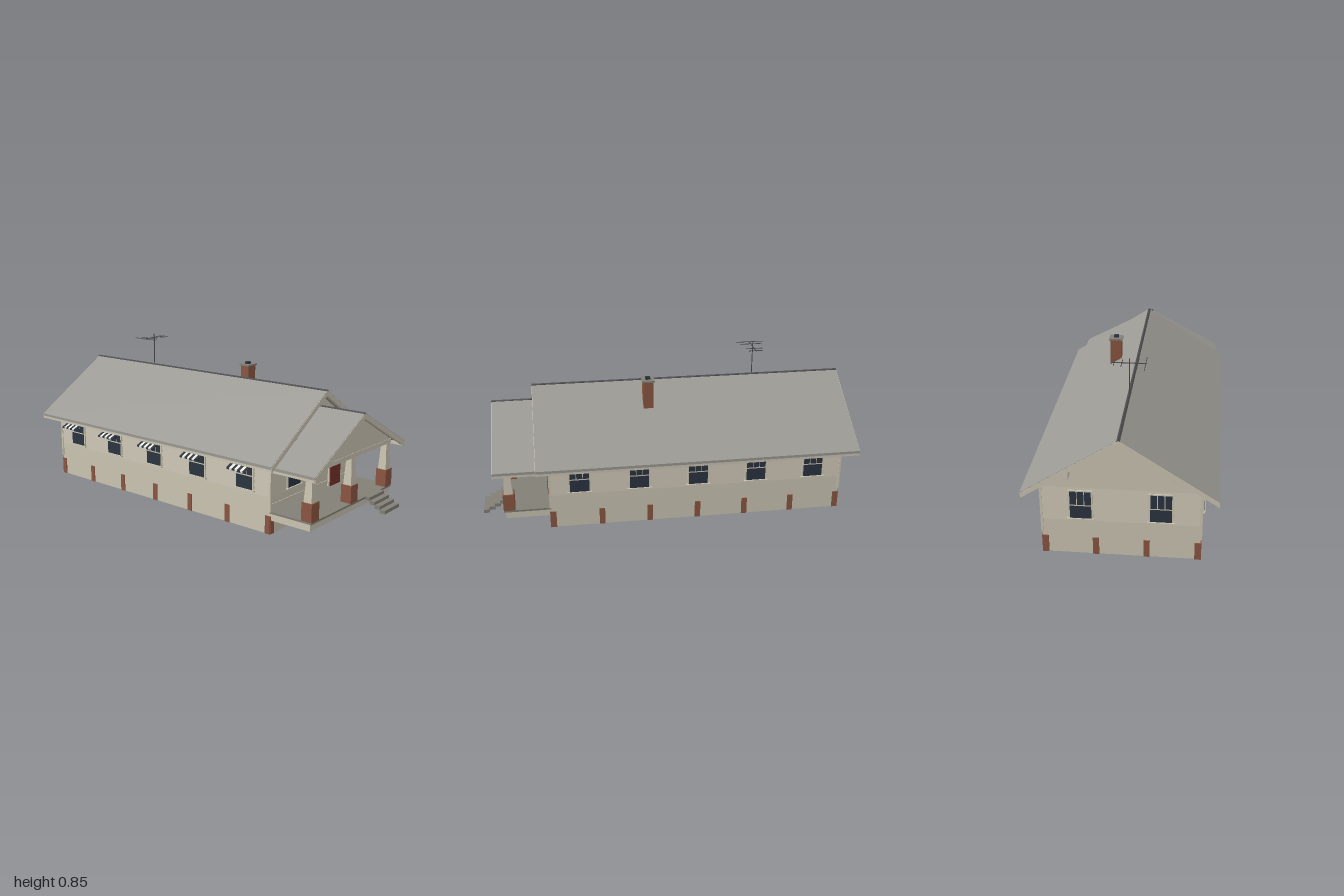
import * as THREE from 'three';

const mat = (name, color, side = THREE.FrontSide) => {
  const m = new THREE.MeshStandardMaterial({ color, side });
  m.name = name;
  return m;
};

export function createModel() {
  const house = new THREE.Group();
  house.name = 'bungalow';
  const cream = mat('creamPaint', 0xcac4b2);
  const roofGrey = mat('roofShingle', 0x9b9993);
  const brick = mat('brick', 0x8a5541);
  const stone = mat('greyFloor', 0x827f76);
  const glass = mat('darkGlass', 0x2b3440);
  const red = mat('redDoor', 0x75302b);
  const metal = mat('darkMetal', 0x4b4b4f);
  const white = mat('awningWhite', 0xe9e6dc);

  const add = (parent, name, geo, material) => {
    const m = new THREE.Mesh(geo, material);
    m.name = name;
    parent.add(m);
    return m;
  };
  // Box given by its limits on each axis
  const box = (parent, name, material, x0, x1, y0, y1, z0, z1) => {
    const g = new THREE.BoxGeometry(x1 - x0, y1 - y0, z1 - z0);
    g.translate((x0 + x1) / 2, (y0 + y1) / 2, (z0 + z1) / 2);
    return add(parent, name, g, material);
  };
  // Box whose top face is narrowed by (dx, dz) on each side
  const taper = (parent, name, material, w, h, d, dx, dz, x, y, z) => {
    const g = new THREE.BoxGeometry(w, h, d);
    const p = g.attributes.position;
    for (let i = 0; i < p.count; i++) {
      if (p.getY(i) > 0) {
        p.setX(i, p.getX(i) - Math.sign(p.getX(i)) * dx);
        p.setZ(i, p.getZ(i) - Math.sign(p.getZ(i)) * dz);
      }
    }
    g.computeVertexNormals();
    g.translate(x, y + h / 2, z);
    return add(parent, name, g, material);
  };
  // Polygon in x,y extruded from z0 to z1
  const prism = (parent, name, material, pts, z0, z1) => {
    const s = new THREE.Shape(pts.map(([x, y]) => new THREE.Vector2(x, y)));
    const g = new THREE.ExtrudeGeometry(s, { depth: z1 - z0, bevelEnabled: false });
    g.translate(0, 0, z0);
    return add(parent, name, g, material);
  };
  const chevron = (half, ridge, eave, t) =>
    [[-half, eave - t], [0, ridge - t], [half, eave - t], [half, eave], [0, ridge], [-half, eave]];

  // Walls: plain base, lapped siding, gabled top
  box(house, 'wallBase', cream, -0.379, 0.379, 0, 0.375, -0.926, 0.643);
  const pitch = 0.037;
  for (let i = 0; i < 5; i++) {
    taper(house, 'sidingCourse', cream, 0.766, pitch, 1.577, 0.003, 0.003, 0, 0.19 + i * pitch, -0.1415);
  }
  prism(house, 'gableWall', cream,
    [[-0.381, 0.372], [0.381, 0.372], [0.381, 0.415], [0, 0.66], [-0.381, 0.415]], -0.929, 0.646);
  for (const y of [0.15, 0.187]) {
    box(house, 'frontSidingLap', cream, -0.379, 0.379, y, y + 0.004, 0.64, 0.646);
  }
  for (const x of [-1, 1]) for (const z of [-0.926, 0.643]) {
    box(house, 'cornerTrim', cream, x * 0.379 - 0.006, x * 0.379 + 0.006, 0.115, 0.375, z - 0.006, z + 0.006);
  }

  // Brick foundation piers around the base
  for (let i = 0; i < 7; i++) {
    const z = 0.63 - i * 0.2575;
    for (const s of [-1, 1]) {
      box(house, 'foundationPier', brick, s * 0.367 - 0.016, s * 0.367 + 0.016, -0, 0.093, z - 0.015, z + 0.015);
    }
  }
  for (const x of [-0.366, -0.122, 0.122, 0.366]) for (const z of [-0.915, 0.632]) {
    box(house, 'foundationPier', brick, x - 0.015, x + 0.015, 0, 0.093, z - 0.016, z + 0.016);
  }

  // Gabled roof with barge boards, eave boards and ridge cap
  const roof = (name, half, ridge, eave, z0, z1, ends) => {
    const g = new THREE.Group();
    g.name = name;
    house.add(g);
    prism(g, 'roofSlopes', roofGrey, chevron(half, ridge, eave, 0.014), z0 + 0.002, z1 - 0.002);
    for (const z of ends) {
      prism(g, 'bargeBoard', cream, chevron(half - 0.002, ridge - 0.002, eave - 0.002, 0.027), z - 0.009, z + 0.009);
    }
    for (const s of [-1, 1]) {
      const x = s * (half - 0.007);
      box(g, 'eaveBoard', cream, x - 0.006, x + 0.006, eave - 0.027, eave - 0.001, z0 + 0.004, z1 - 0.004);
    }
    prism(g, 'ridgeCap', metal, chevron(0.008, ridge + 0.002, ridge - 0.003, 0.004), z0, z1);
  };
  roof('mainRoof', 0.461, 0.672, 0.375, -1, 0.71, [-0.991, 0.701]);
  roof('porchRoof', 0.426, 0.588, 0.361, 0.575, 0.93, [0.921]);

  // Roof brackets under the gables
  for (const x of [-0.243, 0.243]) {
    box(house, 'frontBracket', cream, x - 0.008, x + 0.008, 0.455, 0.495, 0.64, 0.695);
    box(house, 'backBracket', cream, x - 0.008, x + 0.008, 0.445, 0.495, -0.985, -0.92);
  }

  // Porch: floor, skirt, beams and gable infill
  box(house, 'porchSkirt', cream, -0.377, 0.377, 0.072, 0.108, 0.64, 0.876);
  box(house, 'porchFloor', stone, -0.381, 0.381, 0.108, 0.118, 0.64, 0.885);
  box(house, 'porchFrontBeam', cream, -0.38, 0.38, 0.35, 0.373, 0.84, 0.874);
  for (const s of [-1, 1]) {
    box(house, 'porchSideBeam', cream, s * 0.362 - 0.016, s * 0.362 + 0.016, 0.35, 0.375, 0.64, 0.86);
  }
  prism(house, 'porchGable', cream, [[-0.378, 0.37], [0.378, 0.37], [0, 0.576]], 0.85, 0.872);
  for (const x of [-0.35, 0, 0.35]) {
    box(house, 'porchPier', brick, x - 0.032, x + 0.032, 0.118, 0.21, 0.827, 0.886);
    taper(house, 'porchColumn', cream, 0.05, 0.145, 0.046, 0.01, 0.008, x, 0.21, 0.857);
  }

  // Porch steps
  for (let i = 0; i < 4; i++) {
    const z = 0.88 + i * 0.03;
    box(house, 'step', stone, 0.115, 0.265, 0.099 - i * 0.017, 0.118 - i * 0.017, z, z + 0.03);
  }

  // Window facing +z with three upper panes over one lower pane
  const windowAt = (x, z, turn) => {
    const w = new THREE.Group();
    w.name = 'window';
    box(w, 'windowFrame', cream, -0.059, 0.059, 0.202, 0.358, -0.006, 0.007);
    box(w, 'lowerPane', glass, -0.051, 0.051, 0.207, 0.274, 0.005, 0.009);
    for (const px of [-0.035, 0, 0.035]) {
      box(w, 'upperPane', glass, px - 0.0155, px + 0.0155, 0.281, 0.352, 0.005, 0.009);
    }
    box(w, 'sill', cream, -0.064, 0.064, 0.199, 0.206, -0.004, 0.014);
    w.position.set(x, 0, z);
    w.rotation.y = turn;
    house.add(w);
    return w;
  };
  windowAt(-0.19, 0.645, 0);
  for (const x of [-0.19, 0.19]) windowAt(x, -0.928, Math.PI);
  for (let i = 0; i < 5; i++) {
    const z = 0.487 - i * 0.3145;
    windowAt(0.381, z, Math.PI / 2);
    // Striped awnings shade the windows of one side
    const w = windowAt(-0.381, z, -Math.PI / 2);
    for (let k = 0; k < 7; k++) {
      const stripe = prism(w, 'awningStripe', k % 2 ? white : glass,
        [[0, 0.346], [0.07, 0.316], [0.07, 0.31], [0.073, 0.31], [0.073, 0.319], [0, 0.351]], -0.0085, 0.0085);
      stripe.rotation.y = -Math.PI / 2;
      stripe.position.x = (k - 3) * 0.017;
    }
  }

  // Front door
  box(house, 'doorFrame', cream, 0.13, 0.247, 0.118, 0.341, 0.64, 0.652);
  box(house, 'door', red, 0.14, 0.237, 0.118, 0.331, 0.645, 0.655);
  box(house, 'doorGlass', glass, 0.16, 0.219, 0.235, 0.307, 0.652, 0.657);

  // Chimney
  box(house, 'chimneyStack', brick, 0.105, 0.168, 0.54, 0.711, 0.067, 0.12);
  box(house, 'chimneyCap', stone, 0.099, 0.173, 0.711, 0.72, 0.06, 0.127);
  box(house, 'chimneyFlue', glass, 0.123, 0.148, 0.72, 0.732, 0.081, 0.106);

  // Roof antenna
  const aerial = new THREE.Group();
  aerial.name = 'antenna';
  aerial.position.set(0, 0, -0.508);
  house.add(aerial);
  box(aerial, 'mast', metal, -0.002, 0.002, 0.66, 0.852, -0.002, 0.002);
  box(aerial, 'boom', metal, -0.086, 0.086, 0.826, 0.83, -0.002, 0.002);
  for (const [x, r] of [[-0.08, 0.076], [-0.042, 0.062], [0.037, 0.047], [0.075, 0.038]]) {
    box(aerial, 'element', metal, x - 0.0015, x + 0.0015, 0.8265, 0.8295, -r, r);
  }
  return house;
}
